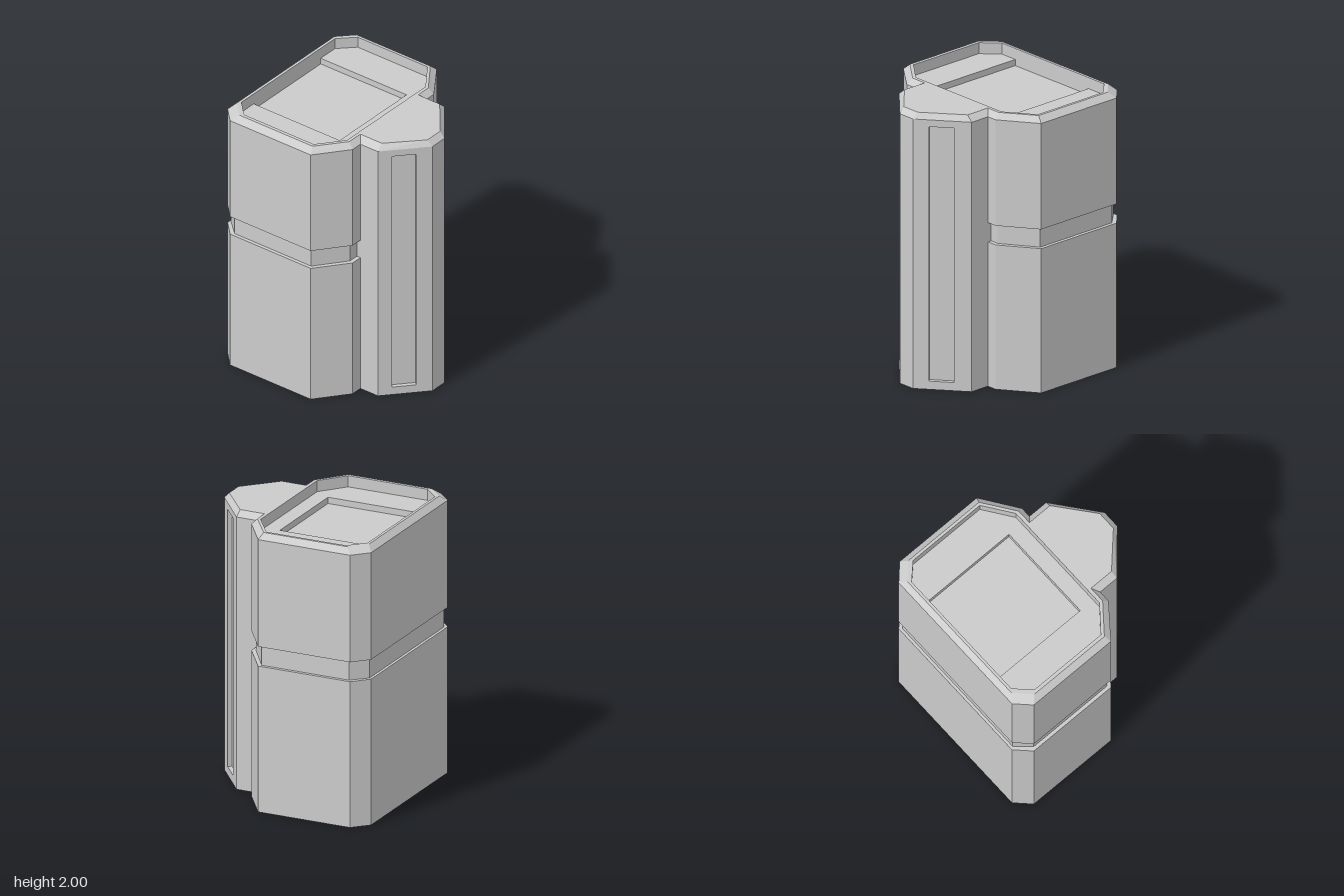
import * as THREE from 'three';

const material = new THREE.MeshStandardMaterial({ color: 0xcccccc, flatShading: true });

// Plan outlines as [x, z], running front -> +x side -> back -> -x side
const outline = [
  [-0.69, 0.58], [-0.585, 0.685], [0.11, 0.685], [0.29, 0.455], [0.29, 0.37], [0.44, 0.37], [0.69, 0.09],
  [0.69, -0.04], [0.44, -0.355], [0.29, -0.355], [0.29, -0.43], [0.11, -0.69], [-0.585, -0.69], [-0.69, -0.58],
];
const topOutline = [
  [-0.65, 0.53], [-0.54, 0.64], [0.09, 0.64], [0.25, 0.44], [0.25, 0.32], [0.435, 0.32], [0.65, 0.095],
  [0.65, -0.045], [0.435, -0.31], [0.25, -0.31], [0.25, -0.42], [0.09, -0.645], [-0.545, -0.645], [-0.65, -0.535],
];
const recess = [
  [-0.63, 0.505], [-0.52, 0.615], [0.08, 0.615], [0.225, 0.435],
  [0.225, -0.42], [0.08, -0.625], [-0.52, -0.625], [-0.63, -0.515],
];
const pocket = [[-0.63, 0.37], [0.11, 0.37], [0.11, -0.36], [-0.63, -0.36]];
// Main body without the spine, and its inset copy inside the groove
const mainBody = [...outline.slice(9), ...outline.slice(0, 5)];
const groove = [
  [0.26, -0.355], [0.26, -0.42], [0.095, -0.665], [-0.565, -0.665], [-0.67, -0.565],
  [-0.67, 0.565], [-0.565, 0.66], [0.095, 0.66], [0.26, 0.445], [0.26, 0.37],
];

const SHOULDER = 1.96, TOP = 2, GROOVE_LOW = 1.05, GROOVE_HIGH = 1.19;
const RECESS_DEPTH = 0.08, POCKET_DEPTH = 0.125;

const at = (points, y) => points.map(([x, z]) => [x, y, z]);

// Strip of quads between two matching rows of 3D points
function ribbon(group, name, a, b, closed = false) {
  const pos = [];
  const n = a.length;
  for (let i = 0; i < (closed ? n : n - 1); i++) {
    const j = (i + 1) % n;
    pos.push(...a[i], ...a[j], ...b[j], ...a[i], ...b[j], ...b[i]);
  }
  const geometry = new THREE.BufferGeometry();
  geometry.setAttribute('position', new THREE.Float32BufferAttribute(pos, 3));
  geometry.computeVertexNormals();
  addMesh(group, name, geometry);
}

// Flat horizontal plate facing up (dir 1) or down (dir -1)
function plate(group, name, points, hole, y, dir) {
  const flat = (list) => list.map(([x, z]) => new THREE.Vector2(x, -z * dir));
  const shape = new THREE.Shape(flat(points));
  if (hole) shape.holes.push(new THREE.Path(flat(hole)));
  const geometry = new THREE.ShapeGeometry(shape).rotateX(-dir * Math.PI / 2).translate(0, y, 0);
  addMesh(group, name, geometry);
}

function addMesh(group, name, geometry) {
  const mesh = new THREE.Mesh(geometry, material);
  mesh.name = name;
  group.add(mesh);
}

// Slanted spine face from p to q with a tall sunken slot
function slottedFace(group, name, p, q, t0, t1) {
  const dx = q[0] - p[0], dz = q[1] - p[1], len = Math.hypot(dx, dz);
  const point = (t, y, depth = 0) =>
    [p[0] + dx * t + (dz / len) * depth, y, p[1] + dz * t - (dx / len) * depth];
  const rect = (u, v, y0, y1, depth) =>
    [point(u, y0, depth), point(v, y0, depth), point(v, y1, depth), point(u, y1, depth)];
  const rim = rect(t0, t1, 0.06, 1.91, 0), floor = rect(t0, t1, 0.06, 1.91, 0.03);
  ribbon(group, name, rect(0, 1, 0, SHOULDER, 0), rim, true);
  ribbon(group, name + 'SlotWalls', rim, floor, true);
  ribbon(group, name + 'SlotFloor', [floor[0], floor[1]], [floor[3], floor[2]]);
}

// Recessed end panel with a deeper rectangular pocket
function endRecess(group, name, y, dir) {
  const y1 = y - dir * RECESS_DEPTH, y2 = y - dir * POCKET_DEPTH;
  const wall = (part, points, outer, inner) => dir > 0
    ? ribbon(group, name + part, at(points, outer), at(points, inner), true)
    : ribbon(group, name + part, at(points, inner), at(points, outer), true);
  wall('RecessWalls', recess, y, y1);
  wall('PocketWalls', pocket, y1, y2);
  // The pocket meets the -x wall, so it is a notch in the floor outline
  plate(group, name + 'RecessFloor', [...recess, ...[...pocket].reverse()], null, y1, dir);
  plate(group, name + 'PocketFloor', pocket, null, y2, dir);
}

export function createModel() {
  const model = new THREE.Group();
  model.name = 'canister';

  // Main body, split by the groove
  const body = new THREE.Group();
  body.name = 'mainBody';
  const first = mainBody[0], last = mainBody[mainBody.length - 1];
  const grooveWall = [first, ...groove, last];
  ribbon(body, 'lowerShell', at(mainBody, 0), at(mainBody, GROOVE_LOW));
  ribbon(body, 'upperShell', at(mainBody, GROOVE_HIGH), at(mainBody, SHOULDER));
  ribbon(body, 'grooveLowerLedge', at(mainBody, GROOVE_LOW), at(groove, GROOVE_LOW));
  ribbon(body, 'grooveUpperLedge', at(groove, GROOVE_HIGH), at(mainBody, GROOVE_HIGH));
  ribbon(body, 'grooveWall', at(grooveWall, GROOVE_LOW), at(grooveWall, GROOVE_HIGH));

  // Spine on the +x side
  const spine = new THREE.Group();
  spine.name = 'spine';
  const sides = { spineFrontSide: 4, spineEdge: 6, spineBackSide: 8 };
  for (const [name, i] of Object.entries(sides)) {
    const pair = outline.slice(i, i + 2);
    ribbon(spine, name, at(pair, 0), at(pair, SHOULDER));
  }
  slottedFace(spine, 'spineFrontFace', outline[5], outline[6], 0.26, 0.7);
  slottedFace(spine, 'spineBackFace', outline[7], outline[8], 0.27, 0.7);

  // Chamfered top
  const top = new THREE.Group();
  top.name = 'top';
  ribbon(top, 'topChamfer', at(outline, SHOULDER), at(topOutline, TOP), true);
  plate(top, 'topRim', topOutline, recess, TOP, 1);
  endRecess(top, 'top', TOP, 1);

  // Flat bottom
  const bottom = new THREE.Group();
  bottom.name = 'bottom';
  plate(bottom, 'bottomRim', outline, recess, 0, -1);
  endRecess(bottom, 'bottom', 0, -1);

  model.add(body, spine, top, bottom);
  return model;
}
